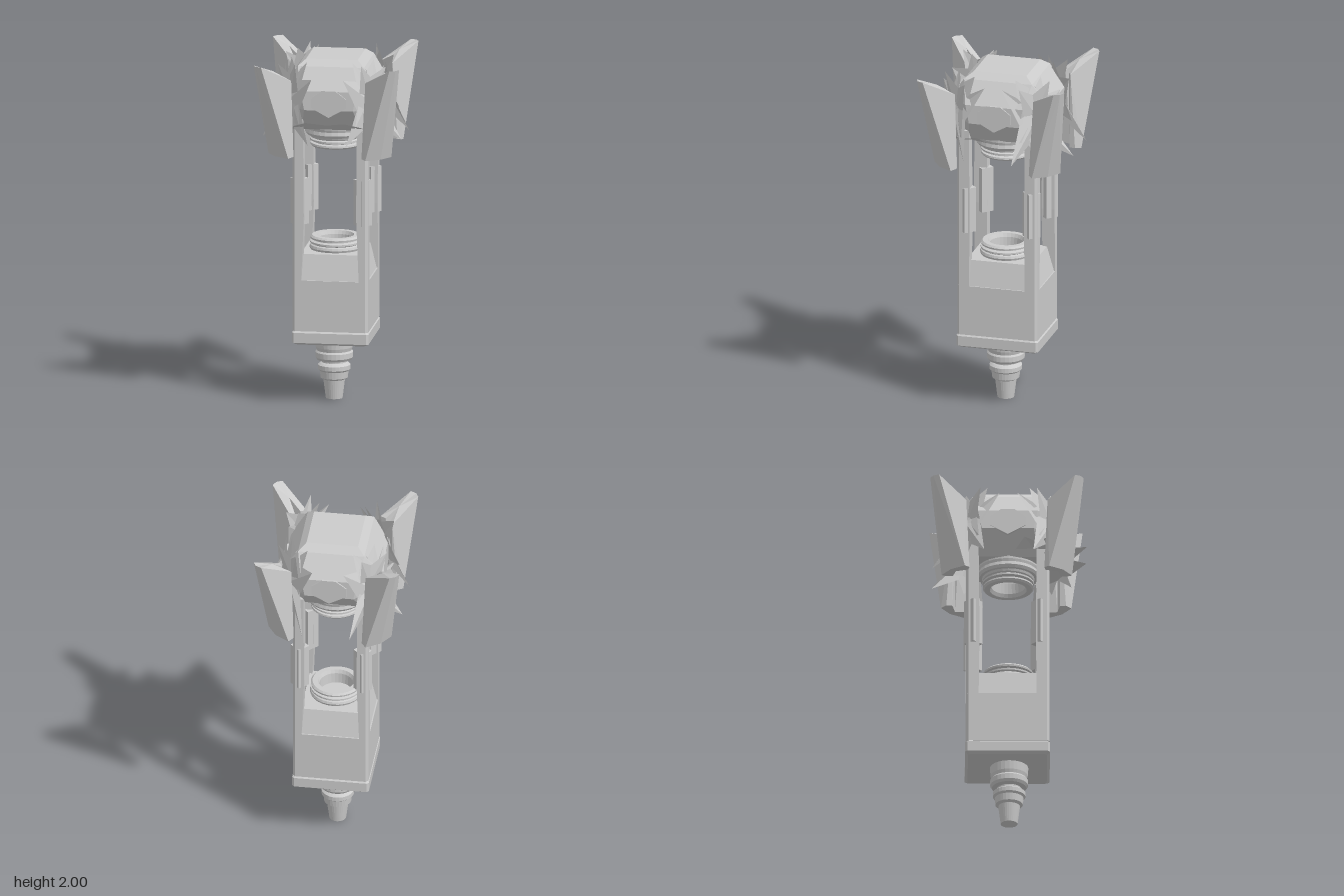
import * as THREE from 'three';
import { ConvexGeometry } from 'three/addons/geometries/ConvexGeometry.js';

const mat = new THREE.MeshStandardMaterial({ color: 0xcccccc, flatShading: true, side: THREE.DoubleSide });
const V = (x, y, z) => new THREE.Vector3(x, y, z);

export function createModel() {
  const root = new THREE.Group();
  const add = (name, geo, x = 0, y = 0, z = 0) => {
    const m = new THREE.Mesh(geo, mat);
    m.name = name;
    m.position.set(x, y, z);
    root.add(m);
    return m;
  };
  const lathe = (pts) => new THREE.LatheGeometry(pts.map(p => new THREE.Vector2(...p)), 28);
  const hull = (pts) => new ConvexGeometry(pts);
  const rect = (w, y, d) => [V(-w, y, -d), V(w, y, -d), V(w, y, d), V(-w, y, d)];
  // rectangle with clipped corners
  const clipped = (w, y, d, c) => [...rect(w - c, y, d), ...rect(w, y, d - c)];
  // fan of triangles around the first point
  const fan = (pts, closed) => {
    const v = [];
    const last = closed ? pts.length : pts.length - 1;
    for (let i = 1; i < last; i++) {
      for (const p of [pts[0], pts[i], pts[i + 1] || pts[1]]) v.push(...p);
    }
    const g = new THREE.BufferGeometry();
    g.setAttribute('position', new THREE.Float32BufferAttribute(v, 3));
    g.computeVertexNormals();
    return g;
  };

  // stepped stem with collars
  add('stem', lathe([[0, 0.01], [0.048, 0], [0.052, 0.03], [0.062, 0.11], [0.078, 0.12], [0.082, 0.16],
    [0.093, 0.17], [0.093, 0.195], [0.08, 0.205], [0.07, 0.21], [0.07, 0.22], [0.098, 0.225],
    [0.108, 0.24], [0.108, 0.27], [0.1, 0.28], [0.106, 0.3], [0.11, 0.36], [0, 0.36]]), -0.008, 0, 0.005);

  // chamfered foot plate, square body and recessed shoulder
  const cz = -0.005;
  add('footPlate', hull([...clipped(0.2, 0.35, 0.225, 0.012), ...clipped(0.22, 0.362, 0.241, 0.012),
    ...clipped(0.22, 0.42, 0.241, 0.012), ...clipped(0.21, 0.432, 0.23, 0.012)]), 0, 0, cz);
  add('body', hull([...clipped(0.217, 0.43, 0.237, 0.015), ...clipped(0.217, 0.725, 0.237, 0.015)]), 0, 0, cz);
  add('shoulder', hull([...rect(0.21, 0.725, 0.23), ...rect(0.175, 0.87, 0.19)]), 0, 0, cz);

  // ribbed open sockets at both ends of the cage
  const ringProfile = [[0.09, 0], [0.145, 0], [0.15, 0.012], [0.145, 0.025], [0.135, 0.03], [0.146, 0.036],
    [0.146, 0.046], [0.125, 0.052], [0.125, 0.056], [0.143, 0.06], [0.145, 0.07], [0.135, 0.08], [0.105, 0.08], [0.095, 0.06], [0.09, 0]];
  add('lowerSocket', lathe(ringProfile), 0, 0.87, 0);
  add('upperSocket', lathe(ringProfile.map(([r, y]) => [r, 0.08 - y]).reverse()), 0, 1.47, 0);

  // corner posts, each with a clasp block set diagonally
  for (const sx of [1, -1]) for (const sz of [1, -1]) {
    const s = (x, y, z) => V(sx * x, y, sz * z);
    const post = [];
    for (const [y, ix, iz] of [[0.72, 0.165, 0.165], [1.1, 0.15, 0.16], [1.66, 0.155, 0.165]]) {
      post.push(s(ix, y, iz), s(0.217, y, iz), s(0.217, y, 0.222), s(0.202, y, 0.237), s(ix, y, 0.237));
    }
    add('cornerPost', hull(post), 0, 0, cz);
    const clasp = add('postClasp', new THREE.BoxGeometry(0.075, 0.265, 0.075), sx * 0.18, 1.18, sz > 0 ? 0.18 : -0.2);
    clasp.rotation.y = Math.PI / 4;
  }

  // faceted head
  const ringOct = (y, a, b, k) => [1, -1].flatMap(i => [1, -1].flatMap(j => [V(i * a, y, j * b * k), V(i * a * k, y, j * b)]));
  add('head', hull([...rect(0.148, 2, 0.155), ...rect(0.19, 1.965, 0.2), ...ringOct(1.84, 0.278, 0.292, 0.58),
    ...ringOct(1.73, 0.28, 0.295, 0.5), ...rect(0.17, 1.6, 0.175)]), 0, 0, cz);
  add('neck', lathe([[0.1, 1.53], [0.165, 1.54], [0.175, 1.555], [0.17, 1.575], [0.175, 1.59], [0.175, 1.62]]));

  // seven-sided panel on each side of the head
  const panel = new THREE.Shape([[-0.04, 0.075], [0.04, 0.075], [0.1, 0.03], [0.1, -0.025], [0, -0.08], [-0.1, -0.025], [-0.1, 0.03]]
    .map(p => new THREE.Vector2(...p)));
  for (let i = 0; i < 4; i++) {
    const g = new THREE.ExtrudeGeometry(panel, { depth: 0.02, bevelEnabled: false });
    g.translate(0, 1.77, i % 2 ? 0.265 : 0.28);
    g.rotateY(i * Math.PI / 2);
    add('headPanel', g, 0, 0, cz);
  }

  // notched front visor with small side flaps
  add('frontVisor', fan([[0, 1.61, 0.24], [-0.23, 1.6, 0.2], [-0.19, 1.65, 0.35], [-0.11, 1.69, 0.445], [0, 1.66, 0.36],
    [0.11, 1.69, 0.445], [0.19, 1.65, 0.35], [0.23, 1.6, 0.2]]));
  for (const sx of [1, -1]) {
    add('sideVisor', fan([[0.24, 1.62, 0.14], [0.25, 1.61, 0.24], [0.315, 1.66, 0.23], [0.29, 1.64, 0.16],
      [0.315, 1.66, 0.09], [0.25, 1.61, 0.04]].map(([x, y, z]) => [sx * x, y, z])));
  }

  // star spikes and outer fins on every corner
  for (const sx of [1, -1]) for (const sz of [1, -1]) {
    const zLong = sz > 0 ? 0.36 : 0.435, xLong = sz > 0 ? 0.11 : 0.135;
    const at = ([x, y, z]) => [sx * x, y, sz * z];
    // outer layer: tips alternate with valleys around the middle
    const star = [[0.235, 1.78, 0.245],
      [0.4, 1.54, 0.14], [0.295, 1.75, 0.16], [0.28, 1.95, 0.05], [0.26, 1.9, 0.14], [0.235, 2, 0.12],
      [0.205, 1.95, 0.19], [0.14, 2, 0.14], [0.175, 1.95, 0.22], [0.13, 2, 0.24], [0.155, 1.9, 0.27],
      [0.09, 1.92, 0.345], [0.165, 1.74, 0.3], [xLong, 1.54, zLong], [0.205, 1.63, 0.28], [0.235, 1.55, 0.25], [0.275, 1.63, 0.21]];
    add('starSpikes', fan(star.map(at), true));
    // inner layer
    const inner = [[0.225, 1.8, 0.235],
      [0.34, 1.66, 0.17], [0.275, 1.8, 0.18], [0.31, 1.97, 0.16], [0.23, 1.92, 0.22], [0.19, 2, 0.31],
      [0.175, 1.8, 0.28], [0.16, 1.64, 0.34], [0.215, 1.66, 0.255]];
    add('starSpikes', fan(inner.map(at), true));

    // folded fin: two halves share a shallow outer ridge and leave the inner side hollow
    const d = Math.SQRT1_2;
    const p = (r, t, y) => V(sx * (r - t) * d, y, sz * (r + t) * d);
    for (const k of [1, -1]) {
      add('outerFin', hull([
        p(0.572, 0, 2), p(0.56, k * 0.035, 2), p(0.36, k * 0.055, 1.9), p(0.37, k * 0.02, 1.9), p(0.45, 0, 1.96),
        p(0.43, 0, 1.46), p(0.41, k * 0.093, 1.46), p(0.37, k * 0.09, 1.465), p(0.35, k * 0.06, 1.465), p(0.39, 0, 1.46)]),
        -sx * 0.003, 0, sz > 0 ? 0.005 : -0.025);
    }
  }
  return root;
}
